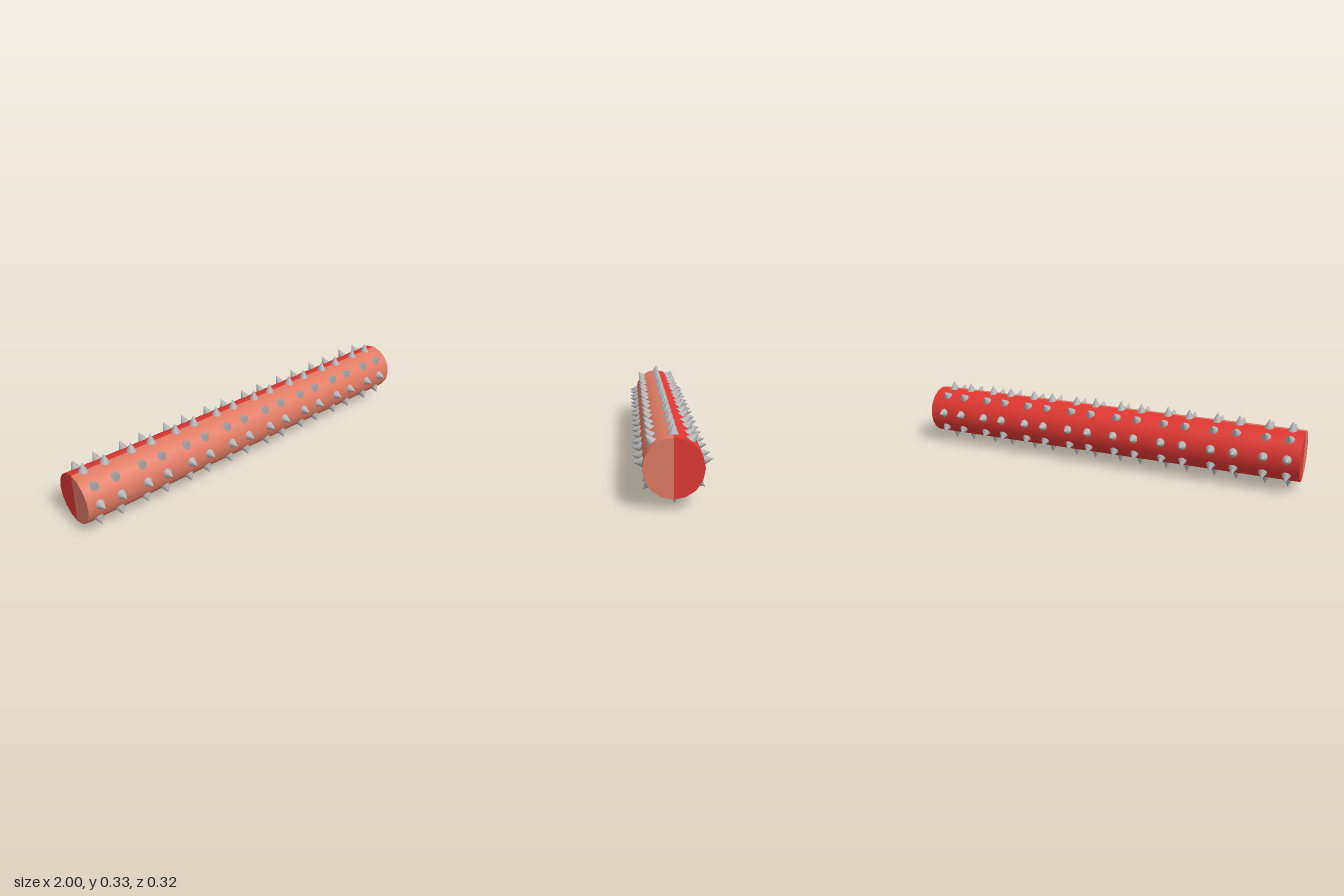
import * as THREE from 'three';

const RADIUS = 0.123, CENTER_Y = 0.165, SEGMENTS = 8, LENGTH = 2 / SEGMENTS;

// [base angle, tip angle, tip distance]; degrees from the top towards the back
const SPIKES = [
  [0.5, 1, 0.165], [37, 39, 0.163], [83.5, 83.4, 0.163], [125.5, 126.4, 0.161],
  [178.8, 176.6, 0.164], [231, 229, 0.157], [274, 272.8, 0.163], [316.5, 317.7, 0.163],
];

// point on a ring around the tube's axis
function ringPoint(degrees, distance) {
  const a = THREE.MathUtils.degToRad(degrees);
  return new THREE.Vector3(0, Math.cos(a) * distance, -Math.sin(a) * distance);
}

// half of a 16-sided cylinder lying along x
function halfCylinder(start) {
  return new THREE.CylinderGeometry(RADIUS, RADIUS, LENGTH, 8, 1, false, start, Math.PI)
    .rotateZ(Math.PI / 2);
}

export function createModel() {
  const salmon = new THREE.MeshStandardMaterial({ name: 'salmon', color: 0xe07a63 });
  const red = new THREE.MeshStandardMaterial({ name: 'red', color: 0xe03731 });
  const steel = new THREE.MeshStandardMaterial({ name: 'steel', color: 0xb2b2b2 });

  const model = new THREE.Group();
  model.name = 'spikedTube';
  const frontGeometry = halfCylinder(-Math.PI / 2);
  const backGeometry = halfCylinder(Math.PI / 2);

  // one cone per spike position, sunk slightly into the tube
  const up = new THREE.Vector3(0, 1, 0);
  const spikeGeometries = SPIKES.map(([baseAngle, tipAngle, tipDistance]) => {
    const base = ringPoint(baseAngle, 0.115);
    const tip = ringPoint(tipAngle, tipDistance);
    const axis = tip.clone().sub(base);
    const height = axis.length();
    const turn = new THREE.Quaternion().setFromUnitVectors(up, axis.normalize());
    return new THREE.ConeGeometry(0.025, height, 16)
      .translate(0, height / 2, 0)
      .applyQuaternion(turn)
      .translate(base.x, base.y, base.z);
  });

  for (let i = 0; i < SEGMENTS; i++) {
    const segment = new THREE.Group();
    segment.name = 'segment';
    segment.position.set(-1 + LENGTH * (i + 0.5), CENTER_Y, 0);

    // two-tone tube section
    const front = new THREE.Mesh(frontGeometry, salmon);
    front.name = 'frontHalf';
    const back = new THREE.Mesh(backGeometry, red);
    back.name = 'backHalf';
    segment.add(front, back);

    // two rings of spikes
    for (const x of [-0.064, 0.045]) {
      const ring = new THREE.Group();
      ring.name = 'spikeRing';
      ring.position.x = x;
      for (const geometry of spikeGeometries) {
        const spike = new THREE.Mesh(geometry, steel);
        spike.name = 'spike';
        ring.add(spike);
      }
      segment.add(ring);
    }
    model.add(segment);
  }
  return model;
}
